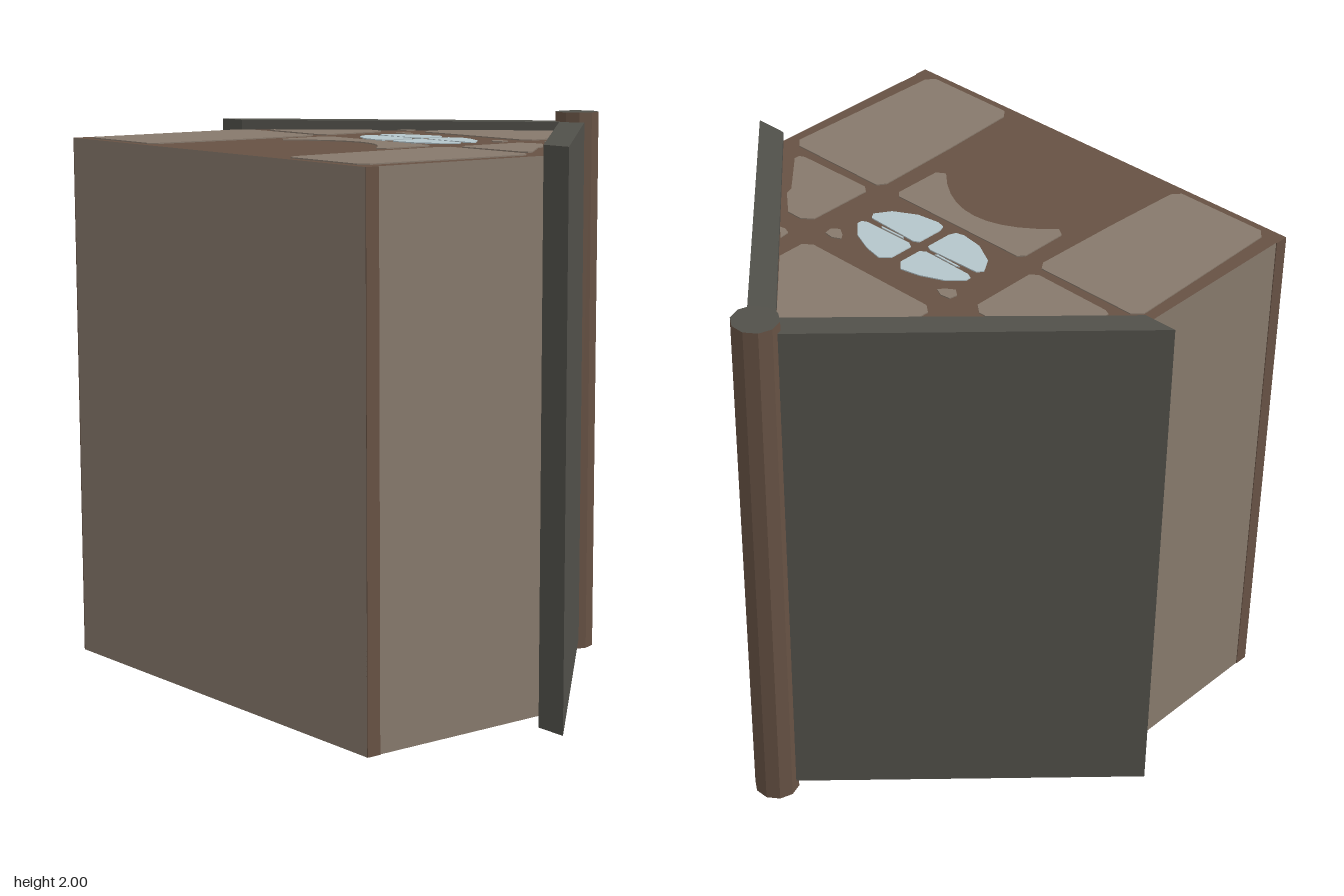
import * as THREE from 'three';

const mat = (name, color) => Object.assign(new THREE.MeshStandardMaterial({ color }), { name });

export function createModel() {
  const plaster = mat('plaster', 0x87796c);
  const timber = mat('timber', 0x675244);
  const slate = mat('slate', 0x51504a);
  const glass = mat('glass', 0xb4c5cb);
  const model = new THREE.Group();
  model.name = 'house';

  const add = (name, geometry, material) => {
    const mesh = new THREE.Mesh(geometry, material);
    mesh.name = name;
    model.add(mesh);
  };
  const outline = (points) => new THREE.Shape(points.map(([x, z]) => new THREE.Vector2(x, z)));
  // Extrudes an outline drawn in x and z, from y = bottom to y = top
  const prism = (shape, bottom, top) =>
    new THREE.ExtrudeGeometry(shape, { depth: top - bottom, bevelEnabled: false, curveSegments: 10 })
      .rotateX(Math.PI / 2).translate(0, top, 0);
  const mirror = (points) => points.map(([x, z]) => [-x, z]);

  const Y0 = 0.08, Y1 = 1.93, T = 0.004;

  // Body: timbered gable ends, plastered long walls
  const body = outline([[-0.83, 0.85], [0.83, 0.85], [0.83, 0.13], [0, -0.69], [-0.83, 0.13]]);
  add('body', prism(body, Y0, Y1), [timber, plaster]);

  // Timber sills along the foot of both side walls
  for (const s of [1, -1]) {
    add('sill', new THREE.BoxGeometry(T, Y1 - Y0, 0.05).translate(s * 0.831, (Y0 + Y1) / 2, 0.825), timber);
  }

  // Roof slabs meeting at the ridge
  const roof = outline([[-0.95, 0.13], [-0.83, 0.13], [0, -0.69], [0.83, 0.13], [0.95, 0.13], [0, -0.82]]);
  add('roof', prism(roof, 0.04, 1.965), slate);

  // Ridge pole with dark ends
  const pole = new THREE.CylinderGeometry(0.08, 0.08, 2, 10).toNonIndexed();
  pole.computeVertexNormals();
  pole.rotateY(Math.PI / 10).translate(0, 1, -0.777);
  add('ridgePole', pole, [timber, slate, slate]);

  // Thin plates on the gable ends
  const frontPlate = (name, shape, m) => add(name, prism(shape, Y1, Y1 + T), m);
  const backPlate = (name, shape, m) => add(name, prism(shape, Y0 - T, Y0), m);
  const bothEnds = (name, shape) => {
    frontPlate('front' + name, shape, plaster);
    backPlate('back' + name, shape, plaster);
  };

  bothEnds('GablePanel', outline([[0, -0.69], [0.29, -0.4], [0.29, -0.3], [0.26, -0.275],
    [-0.26, -0.275], [-0.29, -0.3], [-0.29, -0.4]]));

  const upperPanel = [[0.375, -0.16], [0.41, -0.19], [0.47, -0.19], [0.56, -0.11], [0.57, -0.08],
    [0.71, 0.07], [0.71, 0.09], [0.69, 0.1], [0.4, 0.105], [0.375, 0.085]];
  const cornerChip = [[0.37, -0.32], [0.375, -0.28], [0.4, -0.27], [0.42, -0.275]];
  const braceChip = [[0.22, -0.185], [0.25, -0.2], [0.285, -0.195], [0.29, -0.165], [0.265, -0.145], [0.235, -0.165]];
  const lowerPanel = [[0.36, 0.17], [0.38, 0.14], [0.76, 0.14], [0.79, 0.17], [0.775, 0.79],
    [0.75, 0.82], [0.41, 0.82], [0.385, 0.79], [0.37, 0.5]];
  const upperPane = [[0.02, -0.06], [0.02, -0.15], [0.05, -0.18], [0.12, -0.165], [0.2, -0.13],
    [0.25, -0.08], [0.25, -0.06], [0.23, -0.05], [0.04, -0.047]];
  const lowerPane = [[0.02, -0.02], [0.04, -0.03], [0.24, -0.022], [0.255, 0], [0.22, 0.055],
    [0.14, 0.1], [0.06, 0.112], [0.03, 0.105], [0.02, 0.08]];
  const paneSliver = [[0.07, -0.041], [0.17, -0.043], [0.18, -0.036], [0.08, -0.034]];
  const crossSide = [[0.785, 0.22], [0.785, 0.74], [0.76, 0.75], [0.13, 0.49], [0.13, 0.47], [0.76, 0.21]];

  for (const flip of [(p) => p, mirror]) {
    bothEnds('UpperPanel', outline(flip(upperPanel)));
    bothEnds('CornerChip', outline(flip(cornerChip)));
    bothEnds('BraceChip', outline(flip(braceChip)));
    frontPlate('frontLowerPanel', outline(flip(lowerPanel)), plaster);
    for (const pane of [upperPane, lowerPane, paneSliver]) {
      frontPlate('windowPane', outline(flip(pane)), glass);
    }
    // Back wall: panels left and right of the crossed braces
    backPlate('backCrossPanel', outline(flip(crossSide)), plaster);
  }
  backPlate('backCrossPanel', outline([[-0.66, 0.14], [0.66, 0.14], [0.67, 0.16], [0.02, 0.43], [-0.02, 0.43], [-0.67, 0.16]]), plaster);
  backPlate('backCrossPanel', outline([[-0.66, 0.82], [0.66, 0.82], [0.67, 0.8], [0.02, 0.53], [-0.02, 0.53], [-0.67, 0.8]]), plaster);

  // Plaster above the arched door
  const doorHead = outline([[-0.26, 0.36], [-0.29, 0.34], [-0.29, 0.16], [-0.27, 0.14],
    [0.27, 0.14], [0.29, 0.16], [0.29, 0.34], [0.26, 0.36]]);
  doorHead.quadraticCurveTo(0, 0.09, -0.26, 0.36);
  frontPlate('doorHeadPanel', doorHead, plaster);

  return model;
}
